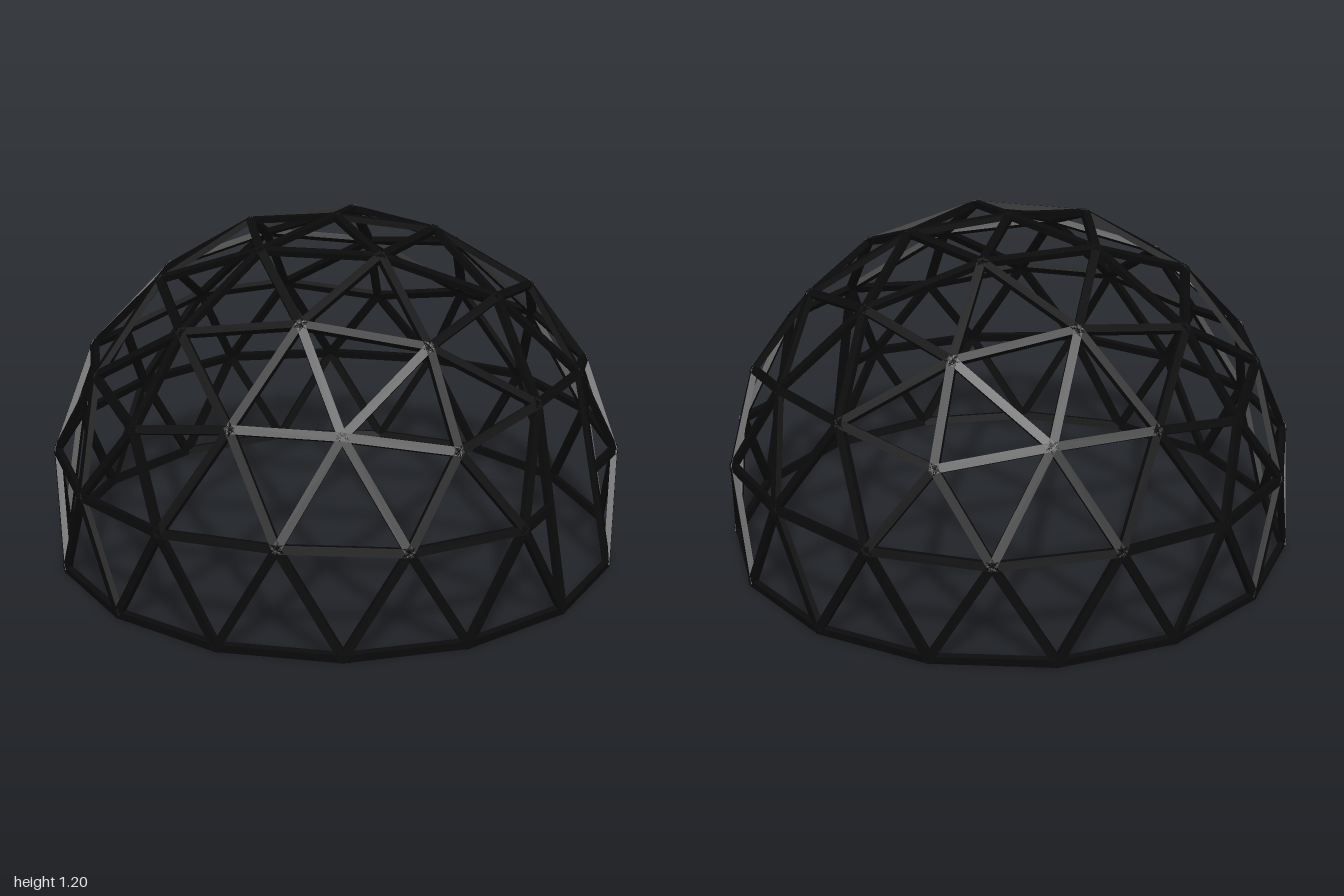
import * as THREE from 'three';

const CENTER = new THREE.Vector3(0, 0.2, 0);
const WIDTH = 0.029, DEPTH = 0.021, OVERLAP = 0.008;

// Point on a ring: azimuth in degrees from +x towards +z
function ringPoint(radius, y, degrees) {
  const a = THREE.MathUtils.degToRad(degrees);
  return new THREE.Vector3(radius * Math.cos(a), y, radius * Math.sin(a));
}

// Flat bar between two points, its broad face turned outwards from the dome centre
function makeStrut(a, b, material, name) {
  const along = b.clone().sub(a);
  const length = along.length();
  along.normalize();
  const mid = a.clone().add(b).multiplyScalar(0.5);
  const side = new THREE.Vector3().crossVectors(mid.clone().sub(CENTER), along).normalize();
  const out = new THREE.Vector3().crossVectors(along, side);
  const strut = new THREE.Mesh(new THREE.BoxGeometry(WIDTH, DEPTH, length + 2 * OVERLAP), material);
  strut.quaternion.setFromRotationMatrix(new THREE.Matrix4().makeBasis(side, out, along));
  strut.position.copy(mid);
  strut.name = name;
  return strut;
}

export function createModel() {
  const dome = new THREE.Group();
  dome.name = 'geodesicDome';
  const black = new THREE.MeshStandardMaterial({ color: 0x0a0a0a });

  // Joints of one fifth of the dome: [radius, height, azimuth]
  const sector = [
    [0.343, 1.139, 0],
    [0.687, 0.927, 0], [0.607, 0.994, 36],
    [0.894, 0.647, 0], [0.857, 0.714, 24], [0.857, 0.714, 48],
    [0.985, 0.372, 12], [0.982, 0.388, 36], [0.985, 0.372, 60],
    [0.982, 0.025, 0], [0.985, 0.025, 24], [0.985, 0.025, 48],
  ];
  const joints = [new THREE.Vector3(0, 1.195, 0)];
  for (let i = 0; i < 5; i++) {
    for (const [r, y, az] of sector) {
      const inDoorway = i === 0 && y === 0.388; // joint left out for the door
      if (!inDoorway) joints.push(ringPoint(r, y, az + i * 72));
    }
  }

  // Struts join every pair of neighbouring joints
  const lattice = new THREE.Group();
  lattice.name = 'lattice';
  const base = new THREE.Group();
  base.name = 'baseRing';
  for (let i = 0; i < joints.length; i++) {
    for (let j = i + 1; j < joints.length; j++) {
      if (joints[i].distanceTo(joints[j]) > 0.5) continue;
      const onGround = joints[i].y < 0.1 && joints[j].y < 0.1;
      (onGround ? base : lattice).add(
        makeStrut(joints[i], joints[j], black, onGround ? 'baseStrut' : 'strut'));
    }
  }

  // Doorway: two long posts, each met by a shortened horizontal strut
  const doorway = new THREE.Group();
  doorway.name = 'doorway';
  for (const [postAz, jointAz] of [[24, 12], [48, 60]]) {
    const foot = ringPoint(0.985, 0.025, postAz);
    const head = ringPoint(0.857, 0.714, postAz);
    doorway.add(makeStrut(foot, head, black, 'doorPost'));
    doorway.add(makeStrut(ringPoint(0.985, 0.372, jointAz), foot.clone().lerp(head, 0.5), black, 'doorSideStrut'));
  }

  dome.add(lattice, base, doorway);
  return dome;
}
